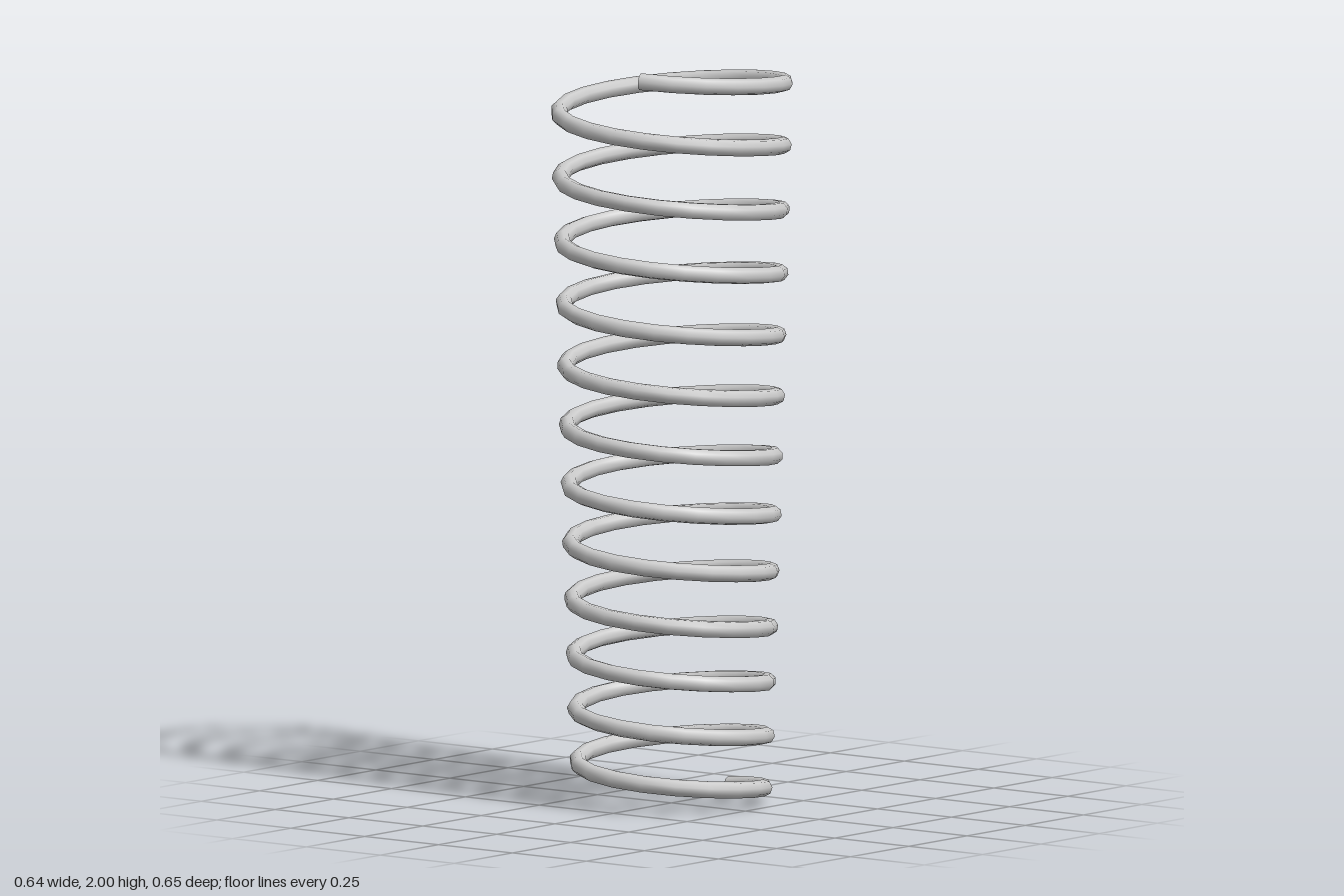
import * as THREE from 'three';

const TURNS = 12.438;
const WIRE = 0.0225;

// Helix that widens and stretches slightly on its way up
class CoilCurve extends THREE.Curve {
  getPoint(u, target = new THREE.Vector3()) {
    const t = u * TURNS;
    const angle = t * Math.PI * 2;
    const radius = 0.248 + 0.056 * u;
    const settle = Math.max(0, t - 11.5) / (TURNS - 11.5); // last coil flattens
    const y = 0.022 + 0.1381 * t + 0.00165 * t * t - 0.0175 * settle * settle;
    return target.set(radius * Math.cos(angle), y, radius * Math.sin(angle));
  }
}

export function createModel() {
  const group = new THREE.Group();
  group.name = 'coilSpring';
  const material = new THREE.MeshStandardMaterial({ color: 0xcccccc });

  // Wire
  const curve = new CoilCurve();
  curve.arcLengthDivisions = 1500;
  const wire = new THREE.Mesh(
    new THREE.TubeGeometry(curve, Math.round(TURNS * 20), WIRE, 8, false), material);
  wire.name = 'springWire';
  group.add(wire);

  // Flat cut at each end of the wire, facing outwards
  const { tangents, normals, binormals } = curve.computeFrenetFrames(Math.round(TURNS * 20), false);
  for (const [name, u, sign] of [['bottomEnd', 0, -1], ['topEnd', 1, 1]]) {
    const i = u * (tangents.length - 1);
    const cap = new THREE.Mesh(new THREE.CircleGeometry(WIRE, 8), material);
    const out = tangents[i].clone().multiplyScalar(sign);
    const side = new THREE.Vector3().crossVectors(out, normals[i]);
    cap.quaternion.setFromRotationMatrix(new THREE.Matrix4().makeBasis(normals[i], side, out));
    cap.position.copy(curve.getPointAt(u));
    cap.name = name;
    group.add(cap);
  }
  return group;
}
